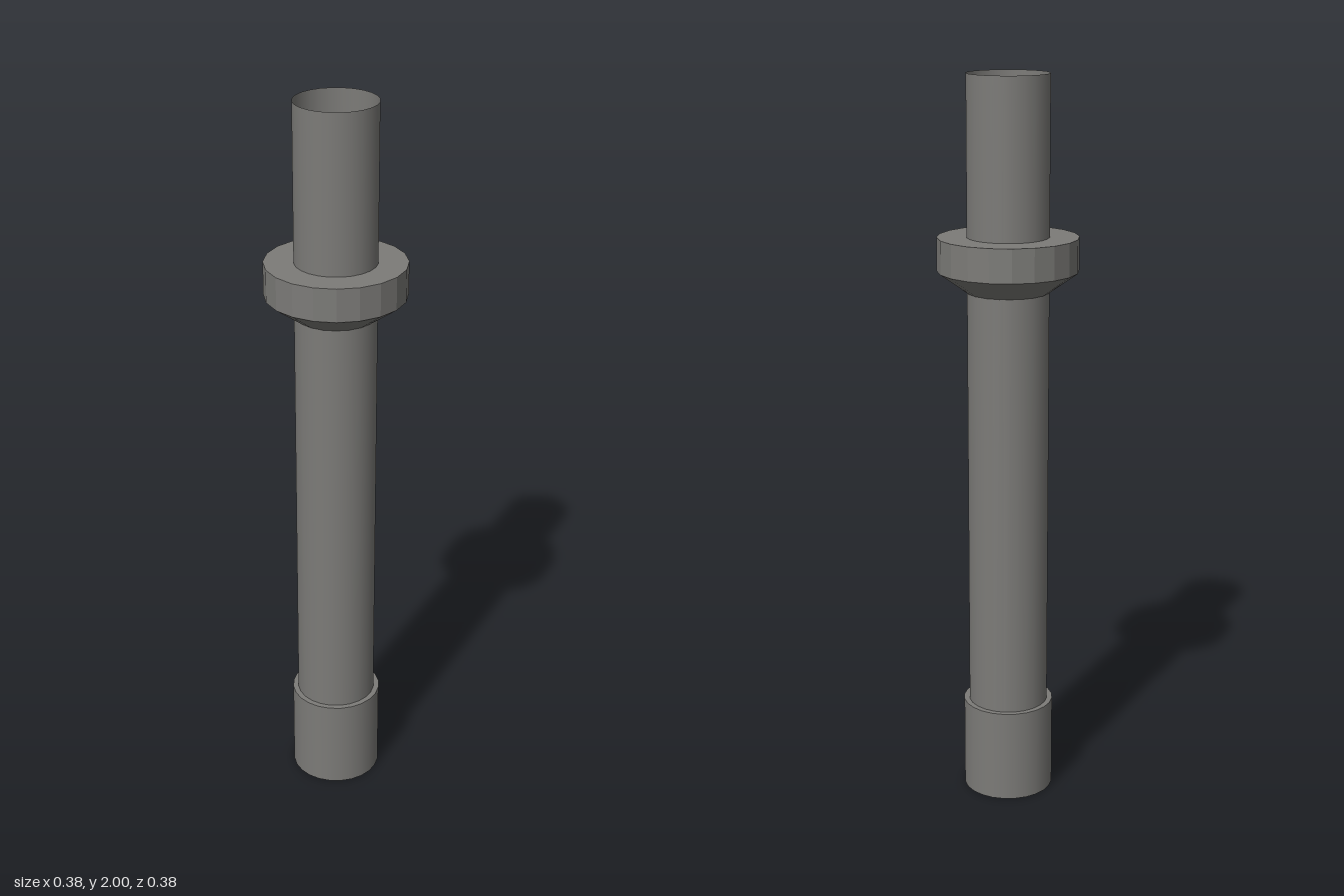
import * as THREE from 'three';

const PIPE_SIDES = 24;
const COLLAR_SIDES = 20;

export function createModel() {
  const model = new THREE.Group();
  const color = 0x7c7b78;
  const smooth = new THREE.MeshStandardMaterial({ color, side: THREE.DoubleSide });
  const faceted = new THREE.MeshStandardMaterial({ color, side: THREE.DoubleSide, flatShading: true });

  function add(name, geometry, material, y) {
    const mesh = new THREE.Mesh(geometry, material);
    mesh.name = name;
    mesh.position.y = y;
    model.add(mesh);
  }

  // Open-ended band between two heights
  function band(name, bottomRadius, topRadius, y0, y1, sides, material = smooth) {
    add(name, new THREE.CylinderGeometry(topRadius, bottomRadius, y1 - y0, sides, 1, true), material, (y0 + y1) / 2);
  }

  // Flat horizontal ring or disc, facing up or down
  function flat(name, inner, outer, y, sides, up = true) {
    const geometry = inner > 0
      ? new THREE.RingGeometry(inner, outer, sides)
      : new THREE.CircleGeometry(outer, sides);
    geometry.rotateX(up ? -Math.PI / 2 : Math.PI / 2);
    add(name, geometry, smooth, y);
  }

  // Long pipe, open at the top
  band('pipe', 0.11, 0.11, 0, 2, PIPE_SIDES);

  // Thicker foot with a narrow ledge and a closed bottom
  band('footSleeve', 0.125, 0.125, 0, 0.26, PIPE_SIDES);
  flat('footLedge', 0.11, 0.125, 0.26, PIPE_SIDES);
  flat('footBottom', 0, 0.125, 0, PIPE_SIDES, false);

  // Collar: flared underside, faceted rim, flat top
  band('collarFlare', 0.11, 0.189, 1.43, 1.487, COLLAR_SIDES);
  band('collarRim', 0.189, 0.189, 1.487, 1.577, COLLAR_SIDES, faceted);
  flat('collarTop', 0.108, 0.189, 1.577, COLLAR_SIDES);

  return model;
}
